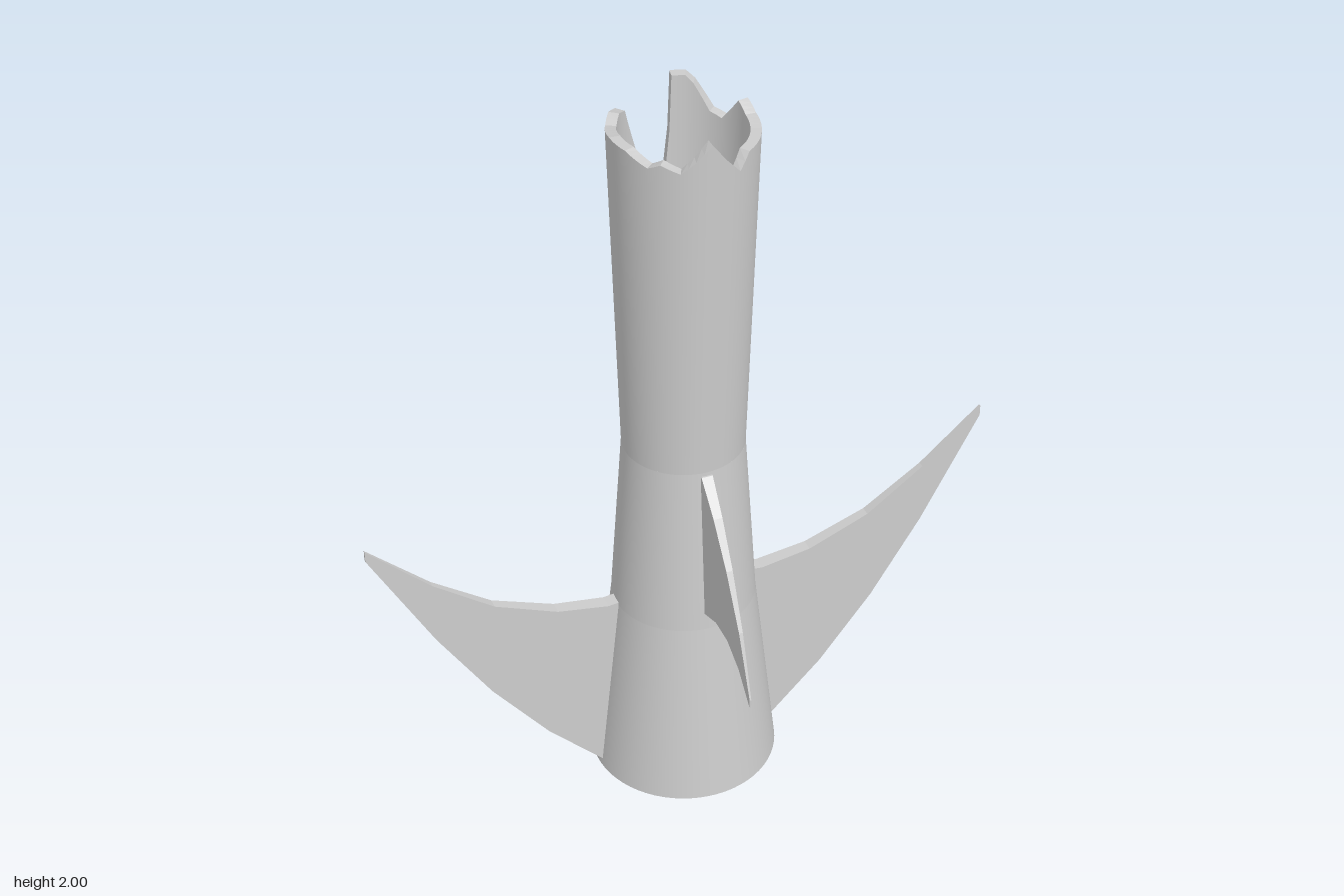
import * as THREE from 'three';

const grey = new THREE.MeshStandardMaterial({ color: 0xcccccc });
const greyDouble = new THREE.MeshStandardMaterial({ color: 0xcccccc, side: THREE.DoubleSide });
const greyFlat = new THREE.MeshStandardMaterial({ color: 0xcccccc, flatShading: true });

const NECK_Y = 1.04;

// Broken rim: [degrees from the front towards +x, height]
const RIM = [
  [0, 2.0], [12, 1.95], [25, 1.905], [35, 1.945], [70, 1.945], [90, 1.95], [103, 1.97],
  [123, 1.9], [135, 1.91], [150, 1.98], [157, 2.0], [169, 2.0], [171, 1.85], [178, 1.66],
  [190, 1.66], [198, 1.75], [207, 1.84], [220, 1.95], [232, 1.96], [244, 1.945], [270, 1.96],
  [292, 1.96], [312, 1.935], [322, 1.95], [337, 1.93], [348, 1.96], [360, 2.0],
];

const outerRadius = (y) => 0.16 + 0.025 * (y - NECK_Y) / 0.91;
const innerRadius = (y) => 0.152 + 0.006 * (y - NECK_Y) / 0.91;

// Rim points with extra steps so the wall stays round
function rimSamples() {
  const out = [];
  for (let i = 0; i < RIM.length - 1; i++) {
    const [a0, y0] = RIM[i], [a1, y1] = RIM[i + 1];
    const steps = Math.ceil((a1 - a0) / 6);
    for (let s = 0; s < steps; s++) {
      const t = s / steps;
      out.push([THREE.MathUtils.degToRad(a0 + (a1 - a0) * t), y0 + (y1 - y0) * t]);
    }
  }
  return out;
}

// Closed band of faces between two loops of points
function band(lower, upper) {
  const n = lower.length, index = [];
  for (let i = 0; i < n; i++) {
    const j = (i + 1) % n;
    index.push(i, j, n + j, i, n + j, n + i);
  }
  const geometry = new THREE.BufferGeometry().setFromPoints([...lower, ...upper]);
  geometry.setIndex(index);
  geometry.computeVertexNormals();
  return geometry;
}

// Flat outline thickened by a rule: half thickness depends on the place in the outline
function finGeometry(points, halfThickness) {
  const shape = new THREE.Shape(points.map(([x, y]) => new THREE.Vector2(x, y)));
  const geometry = new THREE.ExtrudeGeometry(shape, { depth: 2, bevelEnabled: false });
  geometry.translate(0, 0, -1);
  const p = geometry.attributes.position;
  for (let i = 0; i < p.count; i++) {
    p.setZ(i, p.getZ(i) * halfThickness(p.getX(i), p.getY(i)));
  }
  geometry.computeVertexNormals();
  return geometry;
}

export function createModel() {
  const model = new THREE.Group();
  const add = (name, geometry, material) => {
    const mesh = new THREE.Mesh(geometry, material);
    mesh.name = name;
    model.add(mesh);
    return mesh;
  };

  // Flared lower body, open at the bottom
  const rings = [[0.255, 0], [0.193, 0.55], [0.16, NECK_Y]];
  for (let i = 0; i < 2; i++) {
    const [r0, y0] = rings[i], [r1, y1] = rings[i + 1];
    const section = new THREE.CylinderGeometry(r1, r0, y1 - y0, 64, 1, true);
    section.translate(0, (y0 + y1) / 2, 0);
    add(i ? 'upperSkirt' : 'lowerSkirt', section, greyDouble);
  }

  // Upper tube with a thick, broken edge
  const rim = rimSamples();
  const loop = (radius, height) => rim.map(([a, top]) => {
    const y = height ?? top, r = radius(y);
    return new THREE.Vector3(Math.sin(a) * r, y, Math.cos(a) * r);
  });
  const outerTop = loop(outerRadius), innerTop = loop(innerRadius);
  add('outerWall', band(loop(outerRadius, NECK_Y), outerTop), grey);
  add('innerWall', band(innerTop, loop(innerRadius, NECK_Y)), grey);
  add('brokenRim', band(outerTop, innerTop), greyFlat);

  // Floor inside the tube
  const floor = add('tubeFloor', new THREE.CircleGeometry(0.16, 64), greyDouble);
  floor.rotation.x = -Math.PI / 2;
  floor.position.y = NECK_Y;

  // Large side fins sweeping up
  const large = finGeometry([
    [0.232, 0.02], [0.25, 0.02], [0.4, 0.17], [0.55, 0.36], [0.69, 0.58], [0.855, 0.885],
    [0.855, 0.915], [0.69, 0.76], [0.53, 0.645], [0.36, 0.577], [0.22, 0.555], [0.18, 0.56],
  ], (x, y) => 0.0339 - 0.014 * x - 0.02 * y);
  // Small front and back fins sweeping down
  const small = finGeometry([
    [0.175, 0.6], [0.19, 0.6], [0.26, 0.625], [0.33, 0.62], [0.4, 0.58], [0.47, 0.505],
    [0.47, 0.53], [0.4, 0.7], [0.32, 0.84], [0.24, 0.95], [0.165, 1.03], [0.15, 1.03],
  ], (x) => 0.022 - 0.042 * x);

  add('leftFin', large, greyFlat);
  add('rightFin', large, greyFlat).rotation.y = Math.PI;
  add('frontFin', small, greyFlat).rotation.y = -Math.PI / 2;
  add('backFin', small, greyFlat).rotation.y = Math.PI / 2;

  return model;
}
